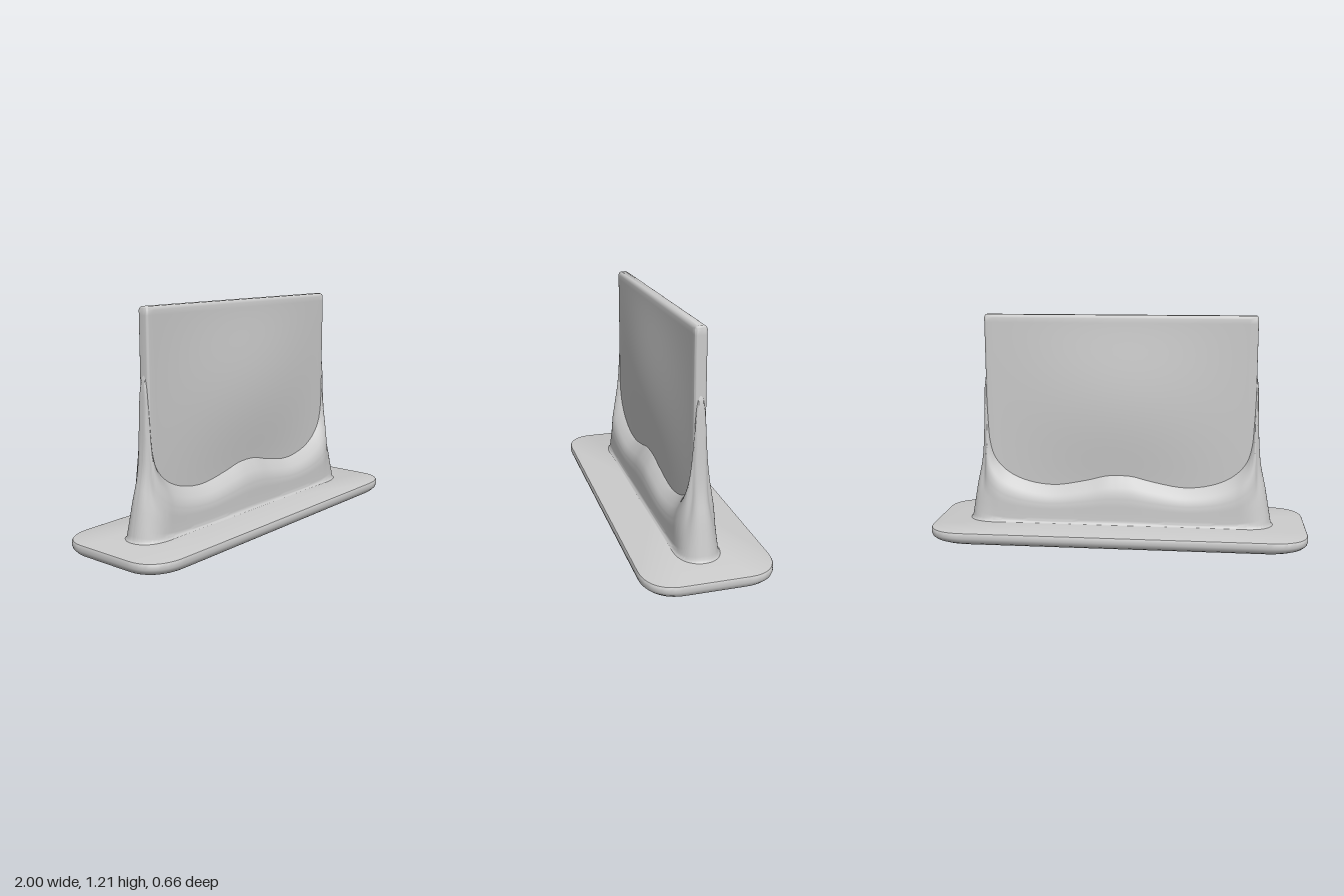
import * as THREE from 'three';
import { toCreasedNormals } from 'three/addons/utils/BufferGeometryUtils.js';

const V = (x, y, z) => new THREE.Vector3(x, y, z);

// Completes a quarter outline (from the +x end to the +z middle) into a closed ring
function mirrorRing(q) {
  const back = q.slice(0, -1).reverse().map(p => V(-p.x, p.y, p.z));
  const half = [...q, ...back];
  const far = half.slice(1, -1).reverse().map(p => V(p.x, p.y, -p.z));
  return [...half, ...far];
}

// Skins rings from bottom to top and closes both ends
function loft(rings, crease = 0.7) {
  const n = rings[0].length, pos = [], idx = [];
  rings.forEach(r => r.forEach(p => pos.push(p.x, p.y, p.z)));
  for (let j = 0; j < rings.length - 1; j++) {
    for (let i = 0; i < n; i++) {
      const a = j * n + i, b = j * n + (i + 1) % n;
      idx.push(a, a + n, b, b, a + n, b + n);
    }
  }
  [0, rings.length - 1].forEach((j, top) => {
    const c = pos.length / 3;
    const mid = rings[j].reduce((s, p) => s.add(p), V(0, 0, 0)).divideScalar(n);
    pos.push(mid.x, mid.y, mid.z);
    for (let i = 0; i < n; i++) {
      const a = j * n + i, b = j * n + (i + 1) % n;
      if (top) idx.push(c, b, a); else idx.push(c, a, b);
    }
  });
  const g = new THREE.BufferGeometry();
  g.setAttribute('position', new THREE.Float32BufferAttribute(pos, 3));
  g.setIndex(idx);
  return toCreasedNormals(g, crease);
}

// Linear lookup in a list of [input, output] pairs
function lookup(table, v) {
  for (let i = 1; i < table.length; i++) {
    const [a, fa] = table[i - 1], [b, fb] = table[i];
    if (v <= b) return fa + (fb - fa) * (v - a) / (b - a);
  }
  return table[table.length - 1][1];
}

// Foot plate: soft corners, rounded underside, crisp upper rim
function baseGeometry() {
  const sections = [[0, 0.17], [0.003, 0.11], [0.01, 0.07], [0.02, 0.037], [0.032, 0.016],
    [0.046, 0.004], [0.06, 0], [0.082, 0], [0.088, 0.003], [0.09, 0.009]];
  return loft(sections.map(([y, inset]) => {
    const q = [], rx = 0.2, rz = 0.17, N = 18;
    for (let i = 0; i <= N; i++) {
      const t = i / N * Math.PI / 2;
      q.push(V(1 - inset - rx + rx * Math.cos(t) ** 0.85, y,
        0.328 - inset - rz + rz * Math.sin(t) ** 0.85));
    }
    return mirrorRing([V(1 - inset, y, 0), ...q, V(0, y, 0.328 - inset)]);
  }));
}

// Half thickness of the panel: thin at the edges, swollen in the middle
function panelHalf(x, y) {
  const cy = Math.max(0, Math.cos((y - 0.72) / 0.49 * Math.PI / 2)) ** 1.5;
  const cx = Math.cos(Math.min(1, Math.abs(x) / 0.72) * Math.PI / 2) ** 1.6;
  return 0.03 + 0.034 * cx * cy;
}

function panelGeometry() {
  const rows = [];
  for (let i = 0; i <= 40; i++) rows.push([0.24 + 0.95 * i / 40, 0]);
  rows.push([1.198, 0.002], [1.204, 0.006], [1.208, 0.012]);
  return loft(rows.map(([y, inset]) => {
    const q = [V(0.722 - inset * 0.6, y, 0)], r = 0.012;
    for (let i = 0; i <= 5; i++) {
      const t = i / 5 * Math.PI / 2;
      q.push(V(0.722 - r + r * Math.cos(t) - inset * 0.6, y, 0.03 - r + r * Math.sin(t) - inset));
    }
    for (let i = 1; i <= 24; i++) {
      const x = 0.705 * (1 - i / 24);
      q.push(V(x, y, panelHalf(x, y) - inset));
    }
    return mirrorRing(q);
  }), 0.8);
}

// Holder: rises from a stadium outline to a wavy rim, with a prong at each end
function holderGeometry() {
  const foot = new THREE.CatmullRomCurve3([
    [0, 0.118], [0.07, 0.118], [0.18, 0.118], [0.36, 0.118], [0.52, 0.118], [0.62, 0.118], [0.68, 0.117],
    [0.73, 0.111], [0.77, 0.096], [0.8, 0.074], [0.82, 0.045], [0.828, 0.022], [0.83, 0],
  ].map(([x, z]) => V(x, 0.088, z)));
  const rim = new THREE.CatmullRomCurve3([
    [0, 0.35], [0.07, 0.345], [0.18, 0.317], [0.36, 0.288], [0.52, 0.313], [0.62, 0.365], [0.68, 0.435],
    [0.707, 0.52, 0.031], [0.715, 0.64, 0.029], [0.72, 0.76, 0.024], [0.723, 0.84, 0.018],
    [0.723, 0.876, 0.009], [0.723, 0.886, 0],
  ].map(([x, y, z = panelHalf(x, y) - 0.001]) => V(x, y, z)));
  const sideProfile = [[0, 0], [0.02, 0.1], [0.06, 0.18], [0.2, 0.2], [0.45, 0.22], [0.6, 0.28],
    [0.72, 0.4], [0.83, 0.6], [0.92, 0.8], [1, 1]];
  const endProfile = [[0, 0], [0.008, 0.06], [0.02, 0.11], [0.14, 0.27], [0.26, 0.43], [0.39, 0.65],
    [0.47, 0.74], [0.6, 0.81], [0.77, 0.86], [0.93, 0.91], [0.98, 0.95], [1, 1]];
  const levels = [0, 0.008, 0.02, 0.04, 0.06, 0.1, 0.14, 0.2, 0.26, 0.33, 0.39, 0.45, 0.5, 0.55, 0.6, 0.66,
    0.72, 0.77, 0.83, 0.88, 0.93, 0.965, 0.985, 1];
  const N = 60;
  return loft(levels.map(v => {
    const q = [];
    for (let i = 0; i <= N; i++) {
      const u = 1 - i / N, a = foot.getPoint(u), b = rim.getPoint(u);
      const k = THREE.MathUtils.smoothstep(u, 0.45, 0.75);
      const f = THREE.MathUtils.lerp(lookup(sideProfile, v), lookup(endProfile, v), k);
      q.push(V(a.x + (b.x - a.x) * f, a.y + (b.y - a.y) * v, a.z + (b.z - a.z) * f));
    }
    return mirrorRing(q);
  }).concat([
    // Tuck the rim inward so it closes inside the panel
    mirrorRing(Array.from({ length: N + 1 }, (_, i) => {
      const b = rim.getPoint(1 - i / N);
      return V(b.x * 0.97, Math.min(b.y, 0.8), b.z * 0.4);
    })),
  ]), 1.0);
}

export function createModel() {
  const group = new THREE.Group();
  const material = new THREE.MeshStandardMaterial({ color: 0xcccccc });
  const parts = { basePlate: baseGeometry(), panel: panelGeometry(), holder: holderGeometry() };
  for (const [name, geometry] of Object.entries(parts)) {
    const mesh = new THREE.Mesh(geometry, material);
    mesh.name = name;
    group.add(mesh);
  }
  return group;
}
